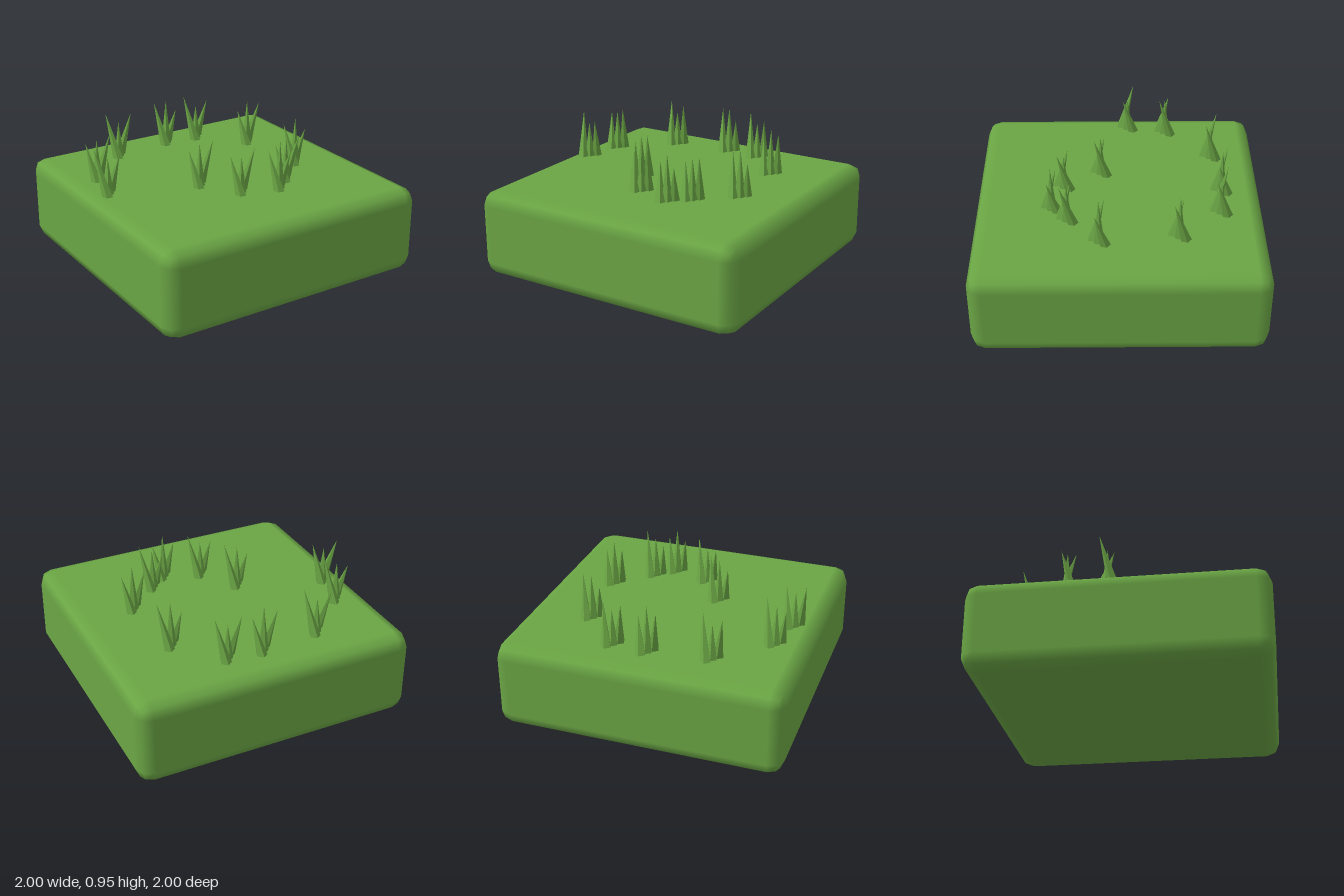
import * as THREE from 'three';
import { RoundedBoxGeometry } from 'three/addons/geometries/RoundedBoxGeometry.js';

const TOP = 0.615;

// Five-sided blade running from its base centre to its tip
function blade(base, tip, material) {
  const from = new THREE.Vector3(...base);
  const axis = new THREE.Vector3(...tip).sub(from);
  const height = axis.length();
  const geometry = new THREE.ConeGeometry(0.04, height, 5).toNonIndexed();
  geometry.rotateY(Math.PI); // flat side towards the front
  geometry.translate(0, height / 2, 0);
  geometry.computeVertexNormals();
  const mesh = new THREE.Mesh(geometry, material);
  mesh.name = 'grassBlade';
  mesh.quaternion.setFromUnitVectors(new THREE.Vector3(0, 1, 0), axis.normalize());
  mesh.position.copy(from);
  return mesh;
}

export function createModel() {
  const model = new THREE.Group();
  model.name = 'grassBlock';
  const green = new THREE.MeshStandardMaterial({ color: 0x6aa544 });
  green.name = 'grassGreen';

  // Block with softly bevelled edges
  const block = new THREE.Mesh(new RoundedBoxGeometry(2, TOP, 2, 1, 0.1), green);
  block.name = 'groundBlock';
  block.position.y = TOP / 2;
  model.add(block);

  // Tufts: x, z, then tip heights of the left, middle and right blades
  const tufts = [
    [-0.43, -0.67, 0.94, 0.87, 0.94],
    [0.0, -0.72, 0.93, 0.95, 0.87],
    [0.25, -0.7, 0.94, 0.87, 0.91],
    [0.52, -0.4, 0.87, 0.94, 0.93],
    [-0.77, -0.35, 0.88, 0.9, 0.94],
    [-0.83, -0.07, 0.94, 0.87, 0.9],
    [-0.23, 0.13, 0.87, 0.92, 0.94],
    [0.57, 0.14, 0.91, 0.95, 0.87],
    [-0.06, 0.39, 0.88, 0.87, 0.93],
    [0.33, 0.36, 0.87, 0.91, 0.94],
    [0.2, 0.47, 0.89, 0.95, 0.87],
  ];
  for (const [x, z, ...heights] of tufts) {
    const tuft = new THREE.Group();
    tuft.name = 'grassTuft';
    tuft.position.set(x, 0, z);
    heights.forEach((h, i) => {
      const side = i - 1;
      const reach = (h - 0.6) / 0.34; // taller blades lean further out
      tuft.add(blade(
        [side * 0.03, 0.6, side * -0.045],
        [side * (0.03 + 0.05 * reach), h, side * (-0.045 + 0.09 * reach)],
        green));
    });
    model.add(tuft);
  }
  return model;
}
